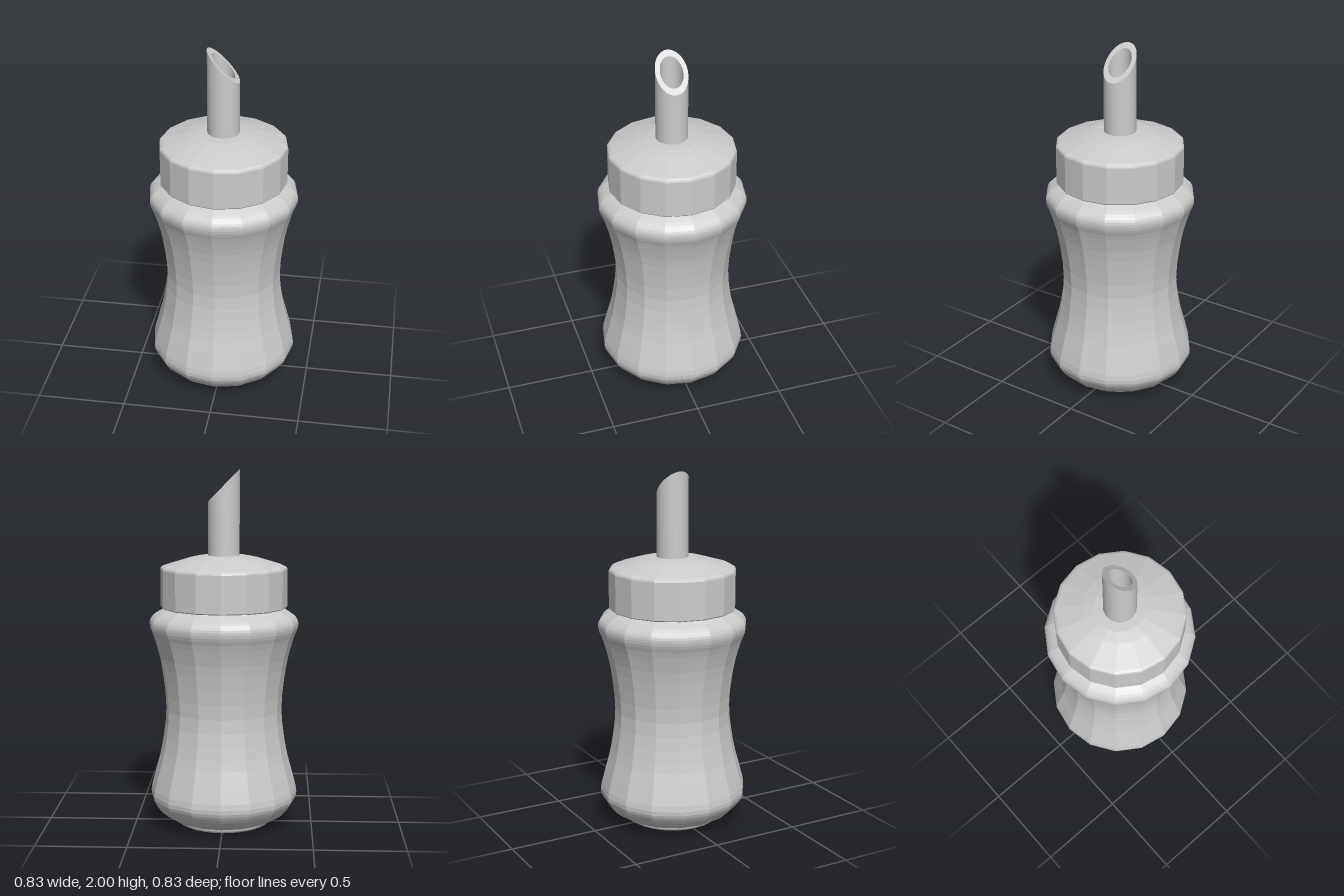
import * as THREE from 'three';
import { toCreasedNormals } from 'three/addons/utils/BufferGeometryUtils.js';

const vectors = (points) => points.map(([r, y]) => new THREE.Vector2(r, y));

function addPart(group, name, geometry, flatShading) {
  const material = new THREE.MeshStandardMaterial({ color: 0xcccccc, flatShading });
  const mesh = new THREE.Mesh(geometry, material);
  mesh.name = name;
  group.add(mesh);
}

export function createModel() {
  const group = new THREE.Group();
  group.name = 'sugarDispenser';

  // Waisted jar: smooth profile turned with 16 flat sides, ending in a neck
  const curve = new THREE.SplineCurve(vectors([
    [0.28, 0.03], [0.34, 0.06], [0.395, 0.12], [0.415, 0.18], [0.39, 0.29],
    [0.352, 0.44], [0.326, 0.66], [0.35, 0.9], [0.387, 1.05], [0.413, 1.12],
    [0.413, 1.165], [0.385, 1.2], [0.33, 1.232],
  ]));
  const jar = [...vectors([[0, 0.03]]), ...curve.getPoints(36),
    ...vectors([[0.315, 1.25], [0.315, 1.4], [0, 1.4]])];
  addPart(group, 'jar', new THREE.LatheGeometry(jar, 16), true);

  // Round foot under the jar
  const foot = vectors([[0, 0], [0.25, 0.003], [0.262, 0.01], [0.268, 0.02], [0.268, 0.035]]);
  addPart(group, 'foot', toCreasedNormals(new THREE.LatheGeometry(foot, 32), 0.6), false);

  // Screw cap, hollow below, with a shallow domed top
  const cap = vectors([
    [0, 1.43], [0.335, 1.43], [0.335, 1.238], [0.35, 1.238], [0.354, 1.243],
    [0.354, 1.45], [0.35, 1.46], [0.338, 1.468], [0.2, 1.51], [0.14, 1.523],
    [0.09, 1.527], [0, 1.527],
  ]);
  addPart(group, 'cap', new THREE.LatheGeometry(cap, 16), true);

  // Pouring spout: a pipe whose mouth is sheared down towards +x
  const spout = new THREE.LatheGeometry(
    vectors([[0.088, 1.5], [0.088, 1.91], [0.062, 1.91], [0.062, 1.5]]), 32);
  const pos = spout.attributes.position;
  for (let i = 0; i < pos.count; i++) {
    if (pos.getY(i) > 1.9) pos.setY(i, 1.91 - pos.getX(i) * 1.023);
  }
  addPart(group, 'spout', toCreasedNormals(spout, 0.6), false);

  return group;
}
